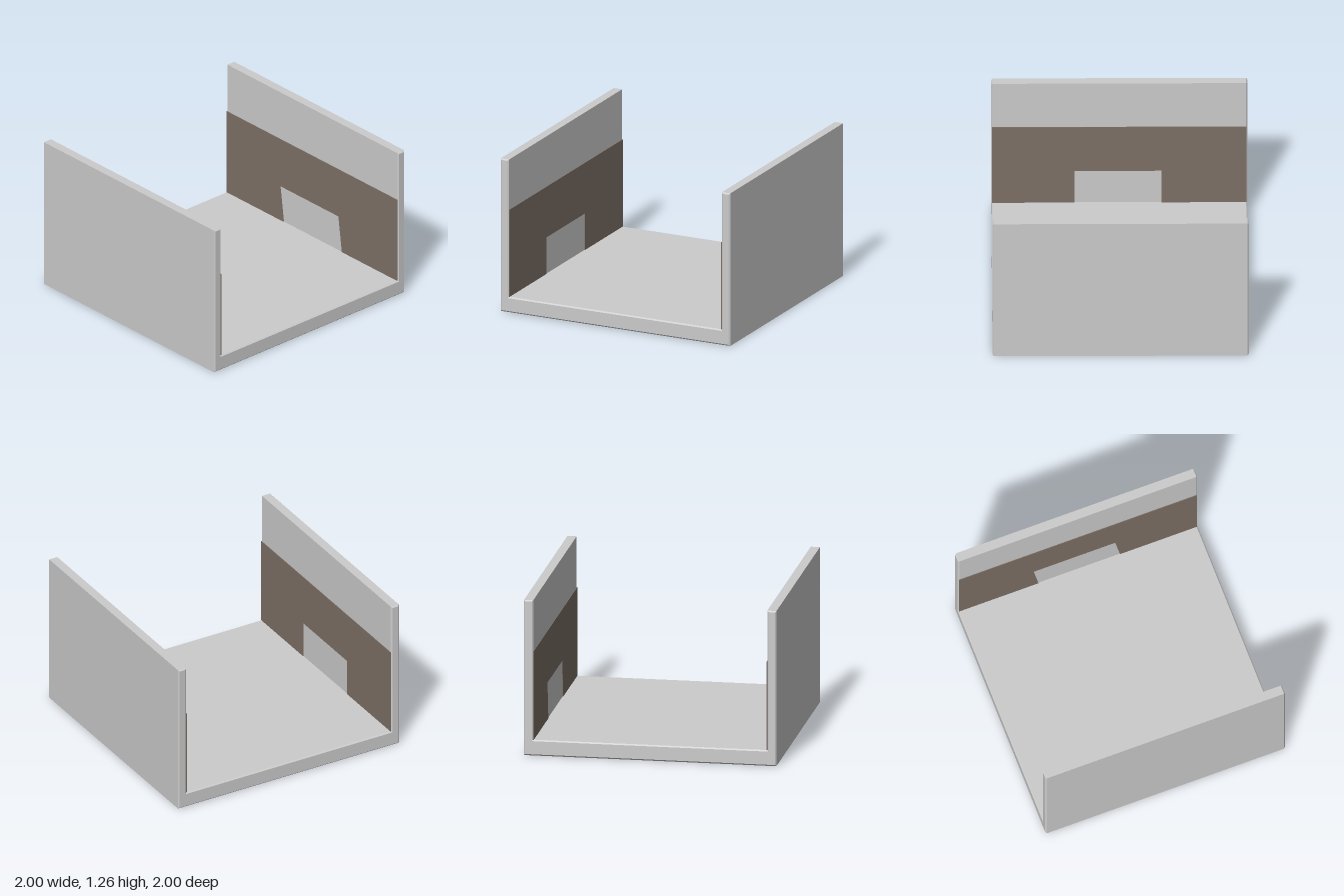
import * as THREE from 'three';

const PAD = 0.005; // thickness of the thin brown panels

const outline = (points) => new THREE.Shape(points.map(([a, b]) => new THREE.Vector2(a, b)));

function panel(name, shape, material) {
  const geometry = new THREE.ExtrudeGeometry(shape, { depth: PAD, bevelEnabled: false });
  const mesh = new THREE.Mesh(geometry, material);
  mesh.name = name;
  return mesh;
}

export function createModel() {
  const group = new THREE.Group();
  group.name = 'channelTray';
  const grey = new THREE.MeshStandardMaterial({ color: 0xcccccc, flatShading: true });
  const brown = new THREE.MeshStandardMaterial({ color: 0x7d7065, flatShading: true });

  // U-shaped channel: floor and two side walls with a small chamfer
  const inner = 0.927, floorTop = 0.13, wallTop = 1.256, base = 0.004, bevel = 0.01;
  const section = outline([
    [-1, base], [1, base], [1, wallTop], [inner, wallTop],
    [inner, floorTop], [-inner, floorTop], [-inner, wallTop], [-1, wallTop],
  ]);
  const bodyGeometry = new THREE.ExtrudeGeometry(section, {
    depth: 2 - 2 * bevel, bevelEnabled: true, bevelSegments: 1,
    bevelSize: bevel, bevelOffset: -bevel, bevelThickness: bevel,
  });
  bodyGeometry.translate(0, 0, -1 + bevel);
  const body = new THREE.Mesh(bodyGeometry, grey);
  body.name = 'channelBody';
  group.add(body);

  // Inner wall panels, each with a notch at the floor
  // notch: z at bottom back, top back, top front, bottom front
  const wallPanel = (name, x, [bb, tb, tf, bf]) => {
    const low = floorTop, top = 0.845, notch = 0.43, end = 0.993;
    const mesh = panel(name, outline([
      [-end, low], [bb, low], [tb, notch], [tf, notch],
      [bf, low], [end, low], [end, top], [-end, top],
    ]), brown);
    mesh.rotation.y = -Math.PI / 2;
    mesh.position.x = x;
    group.add(mesh);
  };
  wallPanel('leftWallPanel', inner, [-0.33, -0.37, 0.31, 0.35]);
  wallPanel('rightWallPanel', -inner + PAD, [-0.33, -0.33, 0.35, 0.35]);

  // Underside panel with a square opening
  const e = 0.98;
  const under = outline([[-e, -e], [e, -e], [e, e], [-e, e]]);
  under.holes.push(outline([[0.37, -0.38], [-0.33, -0.35], [-0.34, 0.35], [0.37, 0.29]]));
  const underPanel = panel('undersidePanel', under, brown);
  underPanel.rotation.x = Math.PI / 2;
  underPanel.position.y = PAD;
  group.add(underPanel);

  return group;
}
